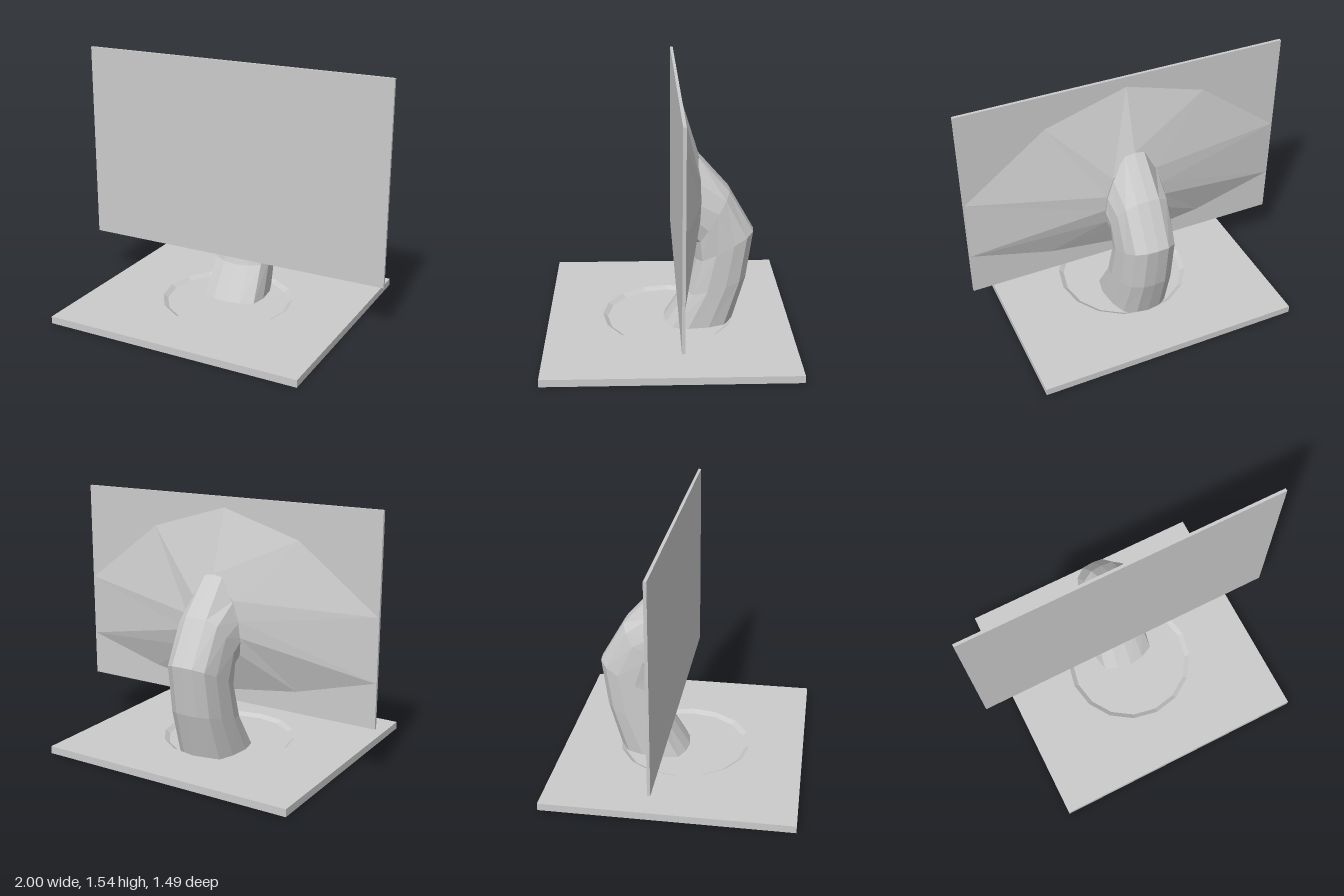
import * as THREE from 'three';

const grey = new THREE.MeshStandardMaterial({ color: 0xcccccc, flatShading: true });
const greyInside = new THREE.MeshStandardMaterial({ color: 0xcccccc, flatShading: true, side: THREE.BackSide });

function add(parent, name, geometry, material = grey) {
  const mesh = new THREE.Mesh(geometry, material);
  mesh.name = name;
  parent.add(mesh);
  return mesh;
}

// Completes a half ring (x = 0 to x = 0 through +x) with its mirror image
function mirrorRing(half) {
  const other = half.slice(1, -1).reverse().map(([x, y, z]) => [-x, y, z]);
  return [...half, ...other];
}

// Faceted skin through a list of closed rings with equal point counts
function loft(rings) {
  const n = rings[0].length;
  const index = [];
  for (let i = 0; i < rings.length - 1; i++) {
    for (let j = 0; j < n; j++) {
      const k = (j + 1) % n;
      const a = i * n + j, b = i * n + k, c = a + n, d = b + n;
      index.push(a, b, d, a, d, c);
    }
  }
  const geometry = new THREE.BufferGeometry();
  geometry.setAttribute('position', new THREE.Float32BufferAttribute(rings.flat(2), 3));
  geometry.setIndex(index);
  const flat = geometry.toNonIndexed();
  flat.computeVertexNormals();
  return flat;
}

function makeBase() {
  const base = new THREE.Group();
  base.name = 'base';
  const w = 0.81, d = 0.745, floor = 0.025, top = 0.045;
  add(base, 'baseSlab', new THREE.BoxGeometry(w * 2, floor, d * 2)).position.y = floor / 2;

  // Upper layer with the round recess cut out
  const plate = new THREE.Shape([
    new THREE.Vector2(-w, -d), new THREE.Vector2(w, -d),
    new THREE.Vector2(w, d), new THREE.Vector2(-w, d),
  ]);
  const hole = [];
  for (let i = 0; i < 16; i++) {
    const a = -i * Math.PI / 8;
    hole.push(new THREE.Vector2(0.41 * Math.cos(a), 0.41 * Math.sin(a)));
  }
  plate.holes.push(new THREE.Path(hole));
  const plateGeometry = new THREE.ExtrudeGeometry(plate, { depth: top - floor, bevelEnabled: false });
  plateGeometry.rotateX(-Math.PI / 2);
  add(base, 'baseTop', plateGeometry).position.y = floor;

  // Sloping wall of the recess
  const wall = new THREE.CylinderGeometry(0.41, 0.38, top - floor, 16, 1, true);
  add(base, 'recessWall', wall, greyInside).position.y = (top + floor) / 2;
  return base;
}

// Curved neck: each section runs from a front point to a back point in the zy plane
function makeNeck() {
  // [half width, fraction from front to back]
  const section = [[0, 0], [0.09, 0.03], [0.17, 0.12], [0.19, 0.35], [0.175, 0.65], [0.14, 0.87], [0.075, 0.985], [0, 1]];
  const topSection = [[0, 0], [0.09, 0.01], [0.17, 0.1], [0.19, 0.3], [0.18, 0.5], [0.14, 0.73], [0.06, 0.98], [0, 1]];
  // [front z, front y, back z, back y, width scale]
  const stations = [
    [0.03, 0.025, -0.395, 0.025, 1],
    [-0.10, 0.23, -0.48, 0.32, 0.93],
    [-0.16, 0.44, -0.52, 0.62, 0.9],
    [-0.165, 0.55, -0.37, 0.88, 0.93],
    [-0.15, 0.58, -0.18, 1.10, 1],
  ];
  return loft(stations.map(([fz, fy, bz, by, s], i) => {
    const profile = i === stations.length - 1 ? topSection : section;
    return mirrorRing(profile.map(([x, t]) => [x * s, fy + (by - fy) * t, fz + (bz - fz) * t]));
  }));
}

// Faceted housing spreading from the neck to the back of the panel
function makeHousing() {
  const hub = [[0, 0.84, -0.17]];
  const inner = [[0, 0.58, -0.15], [0.17, 0.63, -0.16], [0.19, 0.74, -0.185], [0.18, 0.84, -0.19], [0.14, 0.96, -0.19], [0, 1.10, -0.18]];
  const outer = [[0, 0.36], [0.5, 0.43], [1, 0.57], [1, 0.95], [0.5, 1.33], [0, 1.48]];
  const innerRing = mirrorRing(inner);
  return loft([
    innerRing.map(() => hub[0]),
    innerRing,
    mirrorRing(outer.map(([x, y]) => [x, y, -0.06])),
  ]);
}

export function createModel() {
  const model = new THREE.Group();
  model.name = 'monitor';
  model.add(makeBase());
  add(model, 'neck', makeNeck());
  add(model, 'rearHousing', makeHousing());
  const panel = add(model, 'screenPanel', new THREE.BoxGeometry(2, 1.24, 0.018));
  panel.position.set(0, 0.92, -0.052);
  return model;
}
